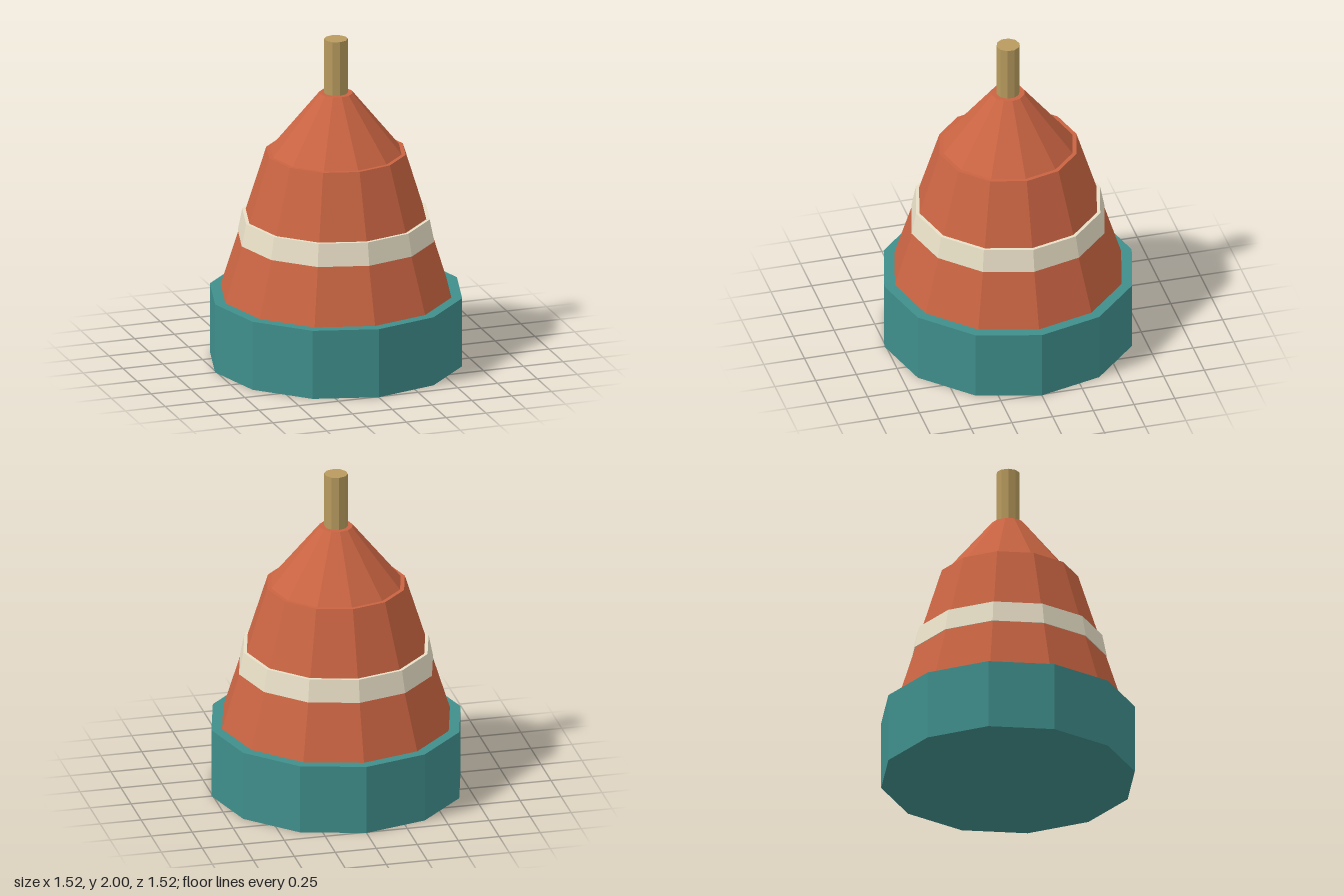
import * as THREE from 'three';

export function createModel() {
  const model = new THREE.Group();
  const material = (color) => new THREE.MeshStandardMaterial({ color, flatShading: true });
  const teal = material(0x3f8f8c);
  const red = material(0xc96442);
  const cream = material(0xe8dfc6);
  const tan = material(0xb89b5e);

  // Faceted tapered drum standing between two heights
  function drum(name, mat, rBottom, rTop, y0, y1, sides = 12) {
    const geometry = new THREE.CylinderGeometry(rTop, rBottom, y1 - y0, sides);
    const mesh = new THREE.Mesh(geometry, mat);
    mesh.name = name;
    mesh.position.y = (y0 + y1) / 2;
    model.add(mesh);
  }

  drum('base', teal, 0.76, 0.76, 0, 0.425);
  drum('body', red, 0.695, 0.42, 0.425, 1.3);
  drum('band', cream, 0.592, 0.565, 0.768, 0.905);
  drum('shoulder', red, 0.395, 0.1, 1.3, 1.665);
  drum('stem', tan, 0.07, 0.07, 1.66, 2, 10);

  return model;
}
